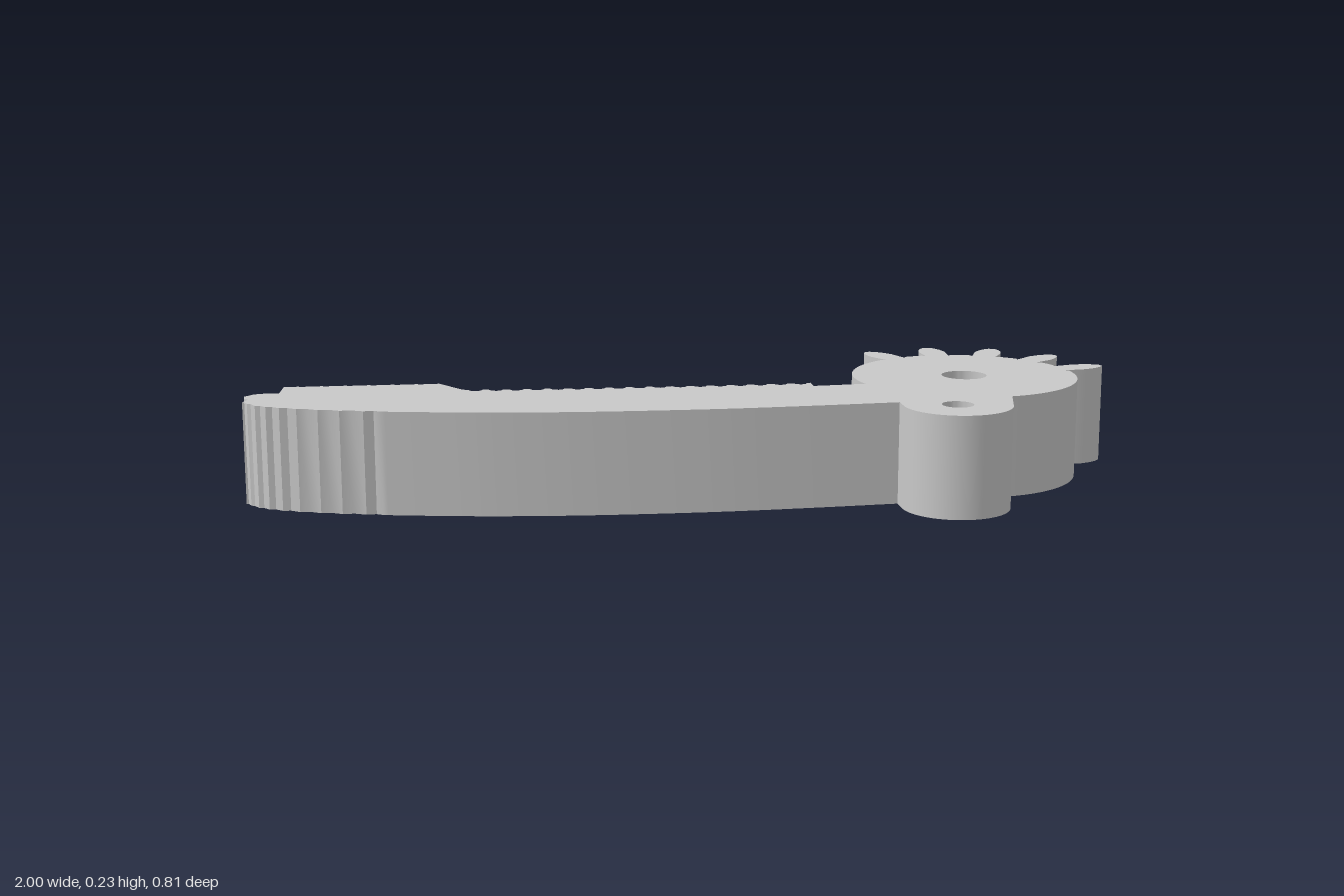
import * as THREE from 'three';
import { toCreasedNormals } from 'three/addons/utils/BufferGeometryUtils.js';

const HEIGHT = 0.228;
const BORE_DEPTH = 0.09;
const HUB = { x: 0.641, y: 0.043, r: 0.26 };
const LUG = { x: 0.54, y: -0.283, r: 0.12 };
const rad = THREE.MathUtils.degToRad;
const lerp = THREE.MathUtils.lerp;

// Points on a circle, angles in degrees
function arc(c, from, to, steps) {
  const pts = [];
  for (let i = 0; i <= steps; i++) {
    const a = rad(lerp(from, to, i / steps));
    pts.push([c.x + c.r * Math.cos(a), c.y + c.r * Math.sin(a)]);
  }
  return pts;
}

// One leaf-shaped gear tooth pointing along the given angle
function tooth(deg) {
  const side = [[0.25, 0.028], [0.28, 0.03], [0.305, 0.032], [0.33, 0.027], [0.35, 0.018], [0.362, 0.008]];
  const profile = [...side.map(([r, w]) => [r, -w]), ...[...side].reverse()];
  const c = Math.cos(rad(deg)), s = Math.sin(rad(deg));
  return profile.map(([r, w]) => [HUB.x + r * c - w * s, HUB.y + r * s + w * c]);
}

// Sampled smooth curve
function smooth(points, steps) {
  return new THREE.SplineCurve(points.map(p => new THREE.Vector2(...p)))
    .getPoints(steps).map(p => [p.x, p.y]);
}

function hole(x, y, r) {
  const pts = arc({ x, y, r }, 360, 0, 40).slice(0, -1);
  return new THREE.Path(pts.map(p => new THREE.Vector2(...p)));
}

// Extrudes a plan outline upwards; plan y becomes -z
function slab(outline, holes, bottom, top) {
  const shape = new THREE.Shape(outline.map(p => new THREE.Vector2(...p)));
  shape.holes.push(...holes);
  const geo = new THREE.ExtrudeGeometry(shape, { depth: top - bottom, bevelEnabled: false });
  geo.rotateX(-Math.PI / 2).translate(0, bottom, 0);
  return toCreasedNormals(geo, rad(30));
}

function leverOutline() {
  const pts = [];

  // Finely stepped rounded end, then the long bowed front edge
  smooth([[-1, -0.048], [-0.965, -0.093], [-0.9, -0.129], [-0.8, -0.164], [-0.7, -0.188]], 18)
    .forEach(([x, y], i) => pts.push([x, y + (i % 2 ? 0.007 : 0)]));
  pts.push(...smooth([[-0.69, -0.19], [-0.6, -0.208], [-0.45, -0.233], [-0.25, -0.252],
    [0, -0.26], [0.2, -0.255], [0.42, -0.243]], 36));

  // Pivot lug, right side of the hub, gear teeth and the hub's left side
  pts.push(...arc(LUG, 180, 346, 32));
  pts.push(...arc(HUB, -81, 4, 22));
  const angles = [12, 38, 64, 90, 116];
  angles.forEach((a, i) => {
    pts.push(...tooth(a));
    if (i < angles.length - 1) pts.push(...arc(HUB, a + 8, a + 18, 4));
  });
  pts.push(...arc(HUB, 124, 196, 20));

  // Step down to the arm
  pts.push([0.27, -0.037], [0.27, 0.001]);

  // Scalloped rack along the back edge, right to left
  const count = 17, x0 = 0.262, x1 = -0.52;
  for (let i = 0; i < count; i++) {
    const t = i / count, step = (x1 - x0) / count;
    const x = x0 + i * step, y = lerp(0, 0.026, t * t);
    pts.push([x, y], [x + step * 0.12, y - 0.011], [x + step * 0.35, y - 0.015],
      [x + step * 0.6, y - 0.011], [x + step * 0.72, y]);
  }

  // Raised block with fine grip grooves
  pts.push([x1, 0.03], [-0.57, 0.107]);
  for (let i = 1; i < 26; i++) {
    pts.push([lerp(-0.57, -0.915, i / 26), lerp(0.107, 0.116, i / 26) - (i % 2 ? 0.005 : 0)]);
  }
  pts.push([-0.918, 0.117], [-0.925, 0.042]);

  // Blunt tip with a small notch
  pts.push([-0.955, 0.045], [-0.98, 0.038], [-1, 0.015], [-0.998, -0.008], [-0.99, -0.02]);
  return pts;
}

export function createModel() {
  const group = new THREE.Group();
  const grey = new THREE.MeshStandardMaterial({ color: 0xc8c8c8 });
  grey.name = 'light grey';

  const add = (name, geo) => {
    const mesh = new THREE.Mesh(geo, grey);
    mesh.name = name;
    group.add(mesh);
  };

  // Lever arm, hub, teeth and lug in one outline
  const boreRadius = 0.107;
  add('gearLever', slab(leverOutline(), [
    hole(HUB.x, HUB.y, boreRadius),
    hole(LUG.x, LUG.y, 0.035),
  ], 0, HEIGHT));

  // Collar that narrows the hub bore above the wide recess underneath
  add('hubCollar', slab(arc({ x: HUB.x, y: HUB.y, r: boreRadius }, 0, 360, 40).slice(0, -1),
    [hole(HUB.x, HUB.y, 0.052)], BORE_DEPTH, HEIGHT));

  return group;
}
